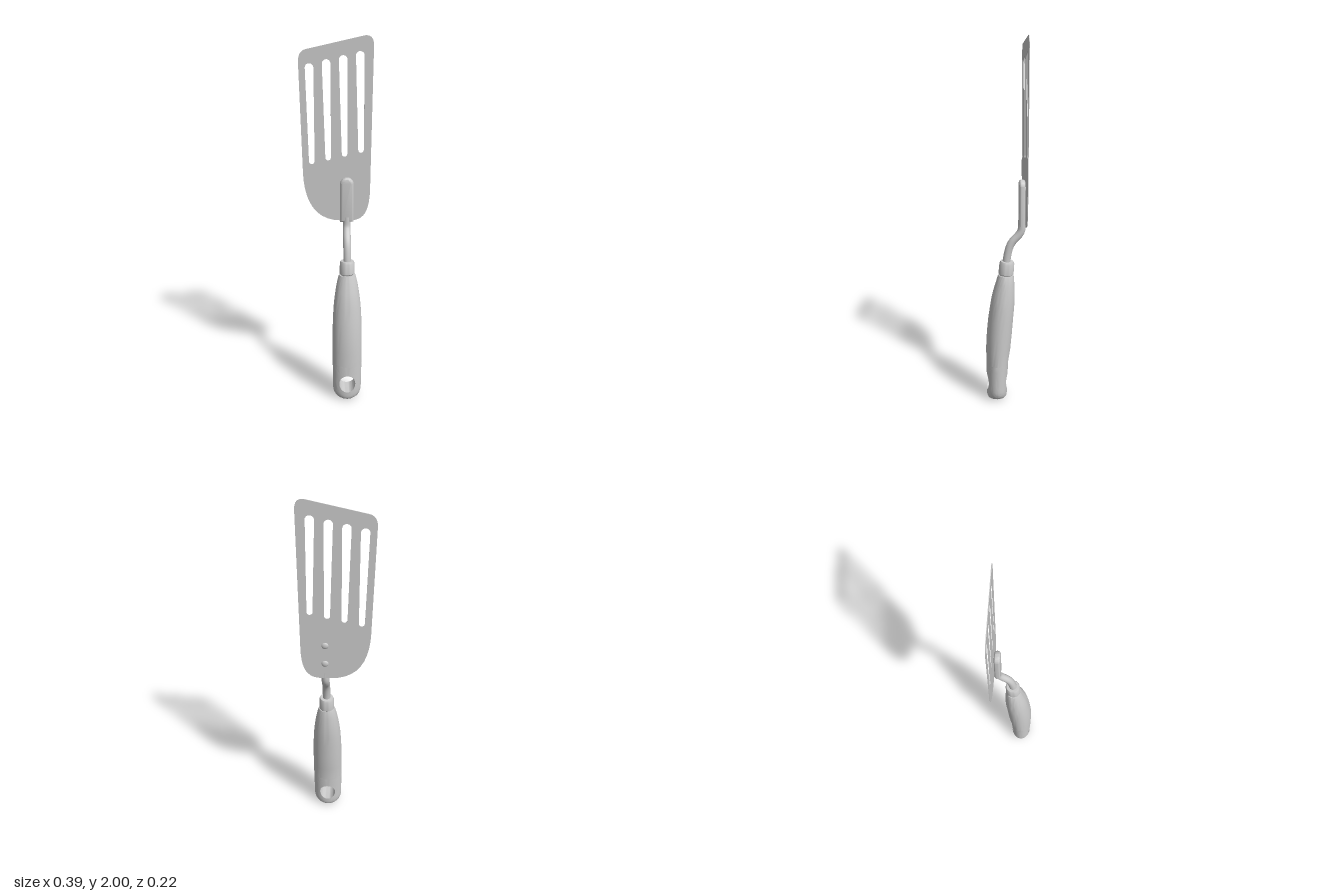
import * as THREE from 'three';
import { toCreasedNormals } from 'three/addons/utils/BufferGeometryUtils.js';

const CX = 0.056; // handle axis in x
const HOLE = { y: 0.105, rx: 0.045, ry: 0.052 };
const SPLIT = 0.22; // the hanging-hole end lies below, the plain grip above

// Handle sections: y, half width, half depth, centre z
const SECTIONS = [
  [0, 0.078, 0.056, 0.052], [0.08, 0.079, 0.057, 0.052], [SPLIT, 0.081, 0.06, 0.049],
  [0.3, 0.082, 0.067, 0.044], [0.4, 0.081, 0.069, 0.037], [0.48, 0.079, 0.068, 0.03],
  [0.55, 0.075, 0.066, 0.022], [0.6, 0.07, 0.063, 0.017], [0.65, 0.063, 0.057, 0.011],
  [0.69, 0.056, 0.05, 0.006], [0.72, 0.049, 0.045, 0.003], [0.735, 0.044, 0.041, 0.002],
];

function sectionAt(y) {
  let i = 0;
  while (i < SECTIONS.length - 2 && y > SECTIONS[i + 1][0]) i++;
  const a = SECTIONS[i], b = SECTIONS[i + 1];
  const t = THREE.MathUtils.clamp((y - a[0]) / (b[0] - a[0]), 0, 1);
  let [w, d, z] = [1, 2, 3].map(k => a[k] + (b[k] - a[k]) * t);
  if (y < 0.08) { // rounded butt
    const s = Math.min(1, (0.08 - y) / 0.08);
    w *= Math.cbrt(1 - s ** 3);
    d *= (1 - s ** 6) ** (1 / 6);
  }
  return { w, d, z };
}

// Triangles between successive closed rings of [x, y, z]
function skin(rings, out) {
  for (let j = 0; j < rings.length - 1; j++) {
    const p = rings[j], q = rings[j + 1], n = p.length;
    for (let i = 0; i < n; i++) {
      const k = (i + 1) % n;
      out.push(...p[i], ...p[k], ...q[k], ...p[i], ...q[k], ...q[i]);
    }
  }
}

function handleGeometry() {
  const out = [], N = 24;

  // Grip, from the closed top down to the split
  const ring = ([y, w, d, z], s = 1) => Array.from({ length: N * 2 }, (_, i) => {
    const t = i * Math.PI / N;
    return [s * w * Math.cos(t), y, z + s * d * Math.sin(t)];
  });
  const rows = SECTIONS.slice(2).reverse();
  skin([ring(rows[0], 0.01), ...rows.map(r => ring(r))], out);

  // Outline of the holed end, anticlockwise from its upper right corner
  const outline = [], top = sectionAt(SPLIT).w;
  for (let i = 0; i <= N; i++) outline.push([top * Math.cos(i * Math.PI / N), SPLIT]);
  const sideY = [0.19, 0.16, 0.13, 0.105];
  sideY.forEach(y => outline.push([-sectionAt(y).w, y]));
  for (let i = 0; i <= N; i++) {
    const t = i * Math.PI / N, c = Math.cos(t);
    outline.push([-0.079 * Math.sign(c) * Math.abs(c) ** (2 / 3),
      0.08 - 0.08 * Math.abs(Math.sin(t)) ** (2 / 3)]);
  }
  [...sideY].reverse().forEach(y => outline.push([sectionAt(y).w, y]));

  // Sheets from the outline to the hole edge, front then back, joined by the hole wall
  const sheetRing = (v, side) => outline.map(([ox, oy]) => {
    const a = Math.atan2((oy - HOLE.y) / HOLE.ry, ox / HOLE.rx);
    const hx = HOLE.rx * Math.cos(a), hy = HOLE.y + HOLE.ry * Math.sin(a);
    const f = Math.sin(v * Math.PI / 2);
    const x = hx + (ox - hx) * f, y = hy + (oy - hy) * f;
    const { w, d, z } = sectionAt(y);
    const bulge = v === 1 && oy < SPLIT ? 0 : Math.sqrt(Math.max(0, 1 - (x / Math.max(w, 1e-6)) ** 2));
    return [x, y, z + side * d * bulge];
  });
  const V = 8, rings = [];
  for (let j = V; j >= 0; j--) rings.push(sheetRing(j / V, 1));
  for (let j = 0; j <= V; j++) rings.push(sheetRing(j / V, -1));
  skin(rings, out);

  const g = new THREE.BufferGeometry();
  g.setAttribute('position', new THREE.Float32BufferAttribute(out, 3));
  return toCreasedNormals(g, 0.9);
}

function bladeGeometry() {
  const s = new THREE.Shape();
  s.moveTo(-0.195, 1.87);
  s.lineTo(-0.178, 1.28);
  s.bezierCurveTo(-0.172, 1.13, -0.12, 1.01, 0.03, 1.01);
  s.lineTo(0.085, 1.01);
  s.bezierCurveTo(0.15, 1.015, 0.18, 1.06, 0.182, 1.19);
  s.lineTo(0.191, 1.95);
  s.quadraticCurveTo(0.19, 2.005, 0.145, 2);
  s.lineTo(-0.155, 1.933);
  s.quadraticCurveTo(-0.195, 1.923, -0.195, 1.87);

  // Four slots, slightly leaning and wider at the top
  for (let i = 0; i < 4; i++) {
    const x = -0.139 + i * 0.087, y = 1.84 + i * 0.02;
    const slot = new THREE.Path();
    slot.absarc(x, y, 0.022, 0, Math.PI, false);
    slot.absarc(x + 0.009, y - 0.495, 0.015, Math.PI, Math.PI * 2, false);
    slot.closePath();
    s.holes.push(slot);
  }
  return new THREE.ExtrudeGeometry(s, { depth: 0.003, bevelEnabled: false, curveSegments: 10 });
}

// Round-topped mount with a softly bevelled front
function tangGeometry() {
  const b = 0.016, r = 0.037 - b;
  const s = new THREE.Shape();
  s.moveTo(-r, 1.01 + b);
  s.lineTo(r, 1.01 + b);
  s.lineTo(r, 1.223);
  s.absarc(0, 1.223, r, 0, Math.PI, false);
  s.closePath();
  const g = new THREE.ExtrudeGeometry(s, {
    depth: 0.002, bevelThickness: b, bevelSize: b, bevelSegments: 5, curveSegments: 10,
  });
  return toCreasedNormals(g, 0.7);
}

export function createModel() {
  const group = new THREE.Group();
  const material = new THREE.MeshStandardMaterial({ color: 0xcccccc });
  const add = (name, geometry, x = 0, y = 0, z = 0) => {
    const mesh = new THREE.Mesh(geometry, material);
    mesh.name = name;
    mesh.position.set(x, y, z);
    group.add(mesh);
    return mesh;
  };

  add('handle', handleGeometry(), CX);

  // Collar, tilted with the handle
  const profile = [[0.036, 0], [0.036, 0.012], [0.041, 0.017], [0.04, 0.075], [0.035, 0.087], [0.001, 0.087]]
    .map(p => new THREE.Vector2(...p));
  const collar = add('collar', toCreasedNormals(new THREE.LatheGeometry(profile, 32), 0.6), CX, 0.725, 0.002);
  collar.rotation.x = -0.08;

  // Cranked rod between collar and blade mount
  const path = new THREE.CatmullRomCurve3(
    [[0.78, 0.001], [0.84, -0.006], [0.89, -0.018], [0.92, -0.033], [0.96, -0.068], [0.985, -0.081], [1.04, -0.084]]
      .map(([y, z]) => new THREE.Vector3(0, y, z)));
  add('rod', new THREE.TubeGeometry(path, 32, 0.021, 16), CX);

  add('bladeMount', tangGeometry(), CX, 0, -0.084);
  add('blade', bladeGeometry(), 0, 0, -0.104);

  // Rivet heads on the back
  for (const y of [1.1, 1.21]) {
    const rivet = add('rivet', new THREE.SphereGeometry(0.019, 16, 10), CX, y, -0.102);
    rivet.scale.z = 0.5;
  }
  return group;
}
